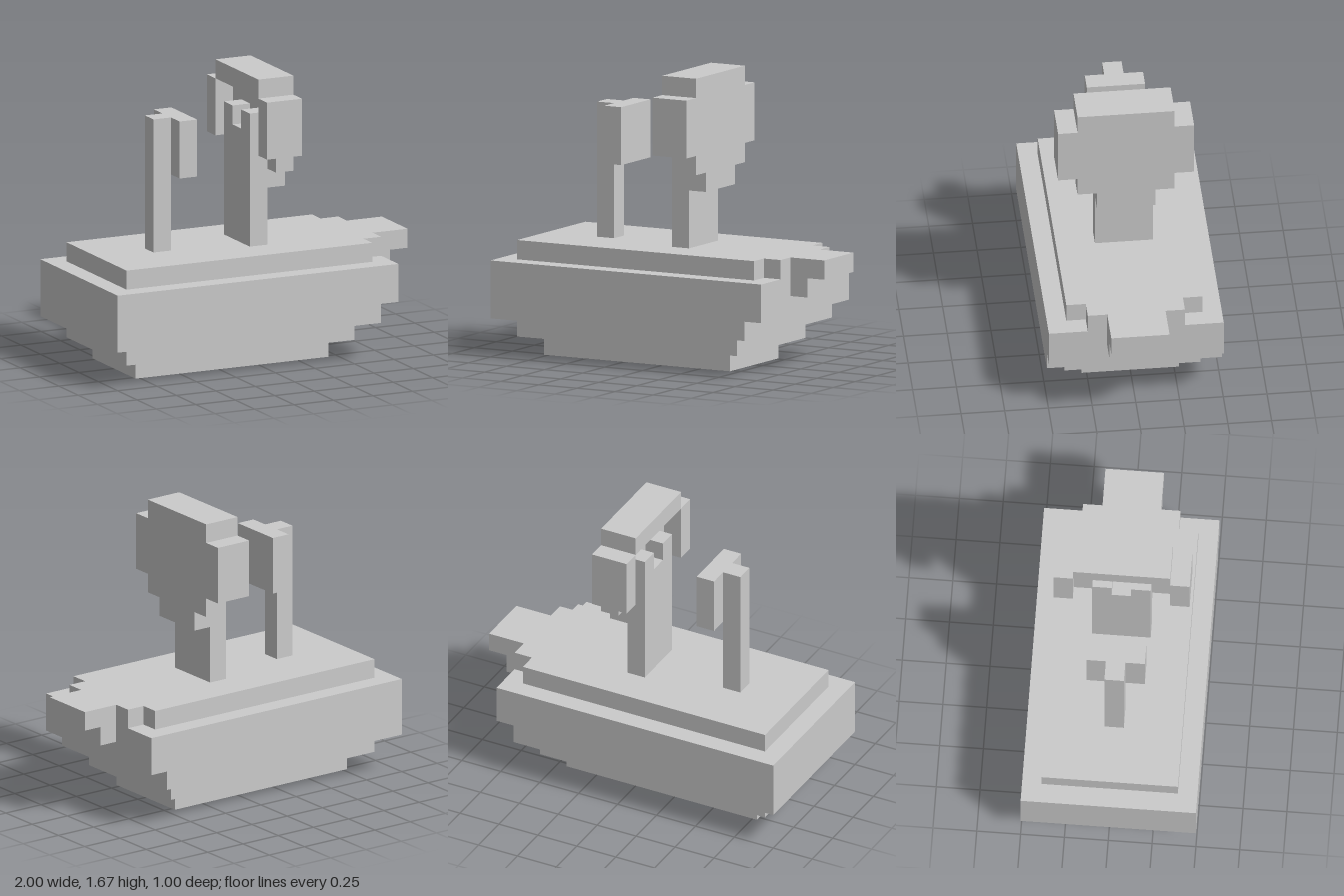
import * as THREE from 'three';

const U = 1 / 9; // one block
const material = new THREE.MeshStandardMaterial({ color: 0xcccccc, flatShading: true });

// Box from block coordinates: x range, y range, z range
function block(parent, name, [x0, x1], [y0, y1], [z0, z1]) {
  const geometry = new THREE.BoxGeometry((x1 - x0) * U, (y1 - y0) * U, (z1 - z0) * U);
  const mesh = new THREE.Mesh(geometry, material);
  mesh.name = name;
  mesh.position.set((x0 + x1) / 2 * U, (y0 + y1) / 2 * U, (z0 + z1) / 2 * U);
  parent.add(mesh);
}

// Box centred on the ship's centre line
const centred = (parent, name, x, y, half) => block(parent, name, x, y, [-half, half]);

// Matching boxes on both sides of the centre line
function pair(parent, name, x, y, [z0, z1]) {
  block(parent, name + 'Left', x, y, [z0, z1]);
  block(parent, name + 'Right', x, y, [-z1, -z0]);
}

function part(parent, name) {
  const group = new THREE.Group();
  group.name = name;
  parent.add(group);
  return group;
}

export function createModel() {
  const ship = new THREE.Group();
  ship.name = 'sailingShip';

  // Stepped hull, keel to deck
  const hull = part(ship, 'hull');
  centred(hull, 'keel', [-7, 4], [0, 1], 2.5);
  centred(hull, 'lowerHull', [-8, 5], [1, 2], 3.5);
  centred(hull, 'middleHull', [-9, 6], [2, 3], 4.5);
  centred(hull, 'upperHull', [-9, 7], [3, 5], 4.5);
  centred(hull, 'deck', [-8, 6], [5, 6], 3.5);
  centred(hull, 'foredeck', [6, 7], [5, 6], 2.5);

  // Bow overhang
  const bow = part(ship, 'bow');
  centred(bow, 'bowSupport', [7, 8], [4, 5], 1.5);
  centred(bow, 'bowTip', [7, 9], [5, 6], 1.5);

  // Main mast with a forked top behind the sail
  const mainMast = part(ship, 'mainMast');
  centred(mainMast, 'mastPost', [0, 1], [6, 12], 1.5);
  pair(mainMast, 'mastFork', [0, 1], [12, 13], [0.5, 1.5]);

  // Main sail: front sheet in rows, with top and side edges curling back
  const mainSail = part(ship, 'mainSail');
  const rows = [[9, 10, 1.5], [10, 11, 2.5], [11, 14, 3.5], [14, 15, 2.5]];
  for (const [y0, y1, half] of rows) centred(mainSail, 'sailRow', [1, 2], [y0, y1], half);
  centred(mainSail, 'sailTopEdge', [0, 1], [14, 15], 2.5);
  pair(mainSail, 'sailSideEdge', [0, 1], [11, 14], [2.5, 3.5]);

  // Small mast and sail at the stern
  const rear = part(ship, 'rearMast');
  centred(rear, 'rearPost', [-5, -4], [6, 13], 0.5);
  centred(rear, 'rearSail', [-4, -3], [10, 13], 1.5);

  return ship;
}
